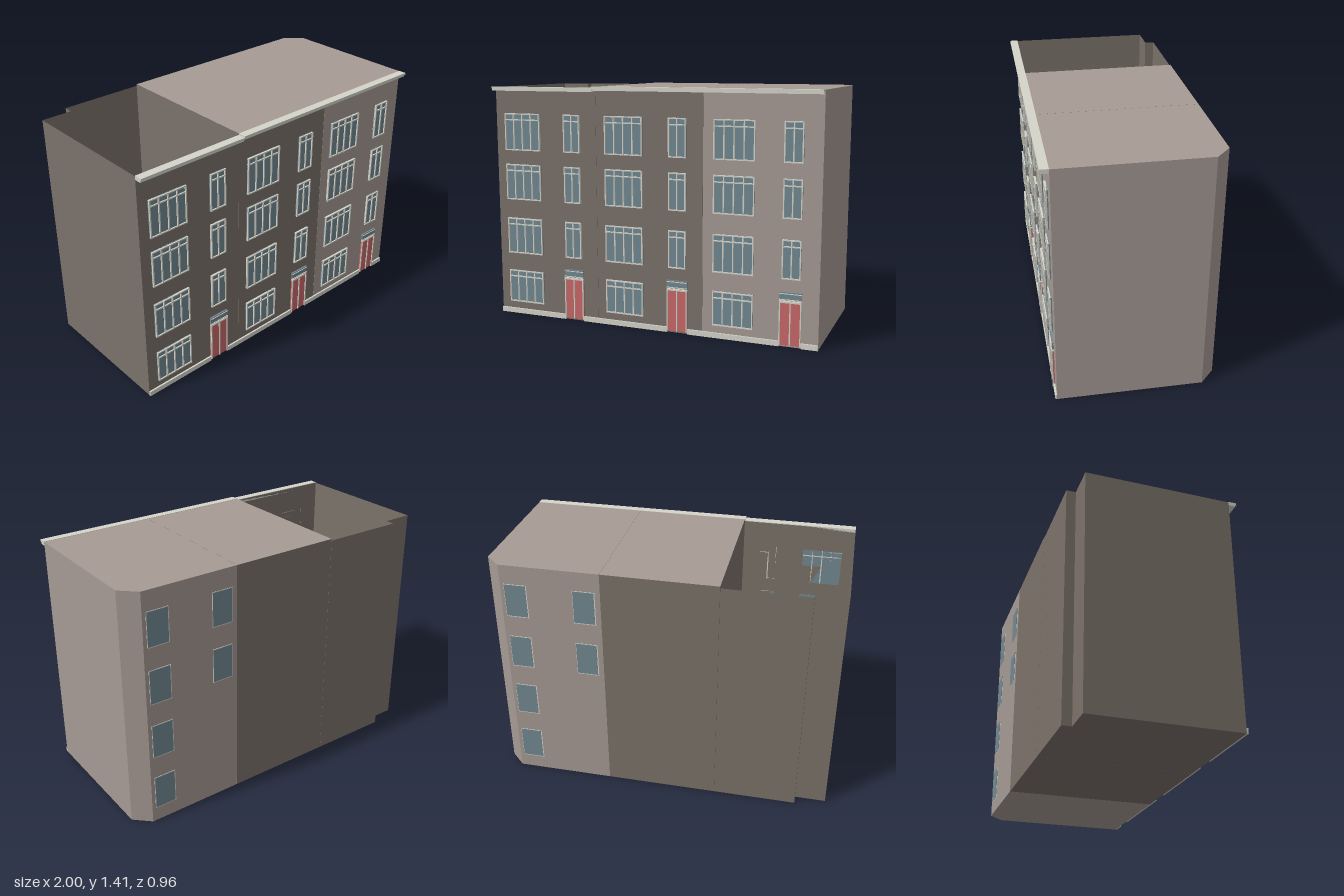
import * as THREE from 'three';

const mat = (name, color, side = THREE.FrontSide) => {
  const m = new THREE.MeshStandardMaterial({ color, side });
  m.name = name;
  return m;
};

export function createModel() {
  const darkWall = mat('dark wall', 0x7b726a, THREE.DoubleSide);
  const lightWall = mat('light wall', 0xa69a94, THREE.DoubleSide);
  const trim = mat('pale trim', 0xd4d4ca);
  const glass = mat('glass', 0x728891);
  const red = mat('red door', 0xc96868);

  const building = new THREE.Group();
  building.name = 'apartmentBlock';
  const FRONT = 0.43, BACK = -0.475, SECTION = 0.665;

  const add = (parent, name, geometry, material) => {
    const mesh = new THREE.Mesh(geometry, material);
    mesh.name = name;
    parent.add(mesh);
    return mesh;
  };

  // box given by its limits on each axis
  const box = (parent, name, material, x0, x1, y0, y1, z0, z1) => {
    const mesh = add(parent, name, new THREE.BoxGeometry(x1 - x0, y1 - y0, z1 - z0), material);
    mesh.position.set((x0 + x1) / 2, (y0 + y1) / 2, (z0 + z1) / 2);
    return mesh;
  };

  // level plate over a footprint of [x, z] points
  const plate = (parent, name, points, y, material) => {
    const shape = new THREE.Shape(points.map(([x, z]) => new THREE.Vector2(x, -z)));
    add(parent, name, new THREE.ShapeGeometry(shape).rotateX(-Math.PI / 2).translate(0, y, 0), material);
  };

  // upright walls round a footprint, counter-clockwise seen from above
  const walls = (parent, name, points, height, material) => {
    const pos = [];
    points.forEach(([x0, z0], i) => {
      const [x1, z1] = points[(i + 1) % points.length];
      pos.push(x0, 0, z0, x1, 0, z1, x1, height, z1, x0, 0, z0, x1, height, z1, x0, height, z0);
    });
    const g = new THREE.BufferGeometry();
    g.setAttribute('position', new THREE.Float32BufferAttribute(pos, 3));
    g.computeVertexNormals();
    add(parent, name, g, material);
  };

  // three house shells; the first has no roof
  const houses = [
    { name: 'openHouse', height: 1.4, wall: darkWall, roof: null,
      plan: [[-1, FRONT], [-0.331, FRONT], [-0.331, BACK], [-0.82, BACK], [-0.82, -0.42], [-1, -0.42]] },
    { name: 'middleHouse', height: 1.41, wall: darkWall, roof: lightWall,
      plan: [[-0.33, FRONT], [0.329, FRONT], [0.329, BACK], [-0.33, BACK]] },
    { name: 'cornerHouse', height: 1.41, wall: lightWall, roof: lightWall,
      plan: [[0.33, FRONT], [1, FRONT], [1, -0.39], [0.91, BACK], [0.33, BACK]] },
  ];
  for (const h of houses) {
    const group = new THREE.Group();
    group.name = h.name;
    building.add(group);
    walls(group, 'walls', h.plan, h.height, h.wall);
    plate(group, 'floor', h.plan, 0, h.wall);
    if (h.roof) plate(group, 'roof', h.plan, h.height, h.roof);
  }

  // framed front window with mullions and a high transom bar
  const frontWindow = (parent, x0, x1, y0, y1, panes) => {
    const g = new THREE.Group();
    g.name = 'frontWindow';
    parent.add(g);
    const t = 0.007, z = FRONT + 0.014;
    box(g, 'pane', glass, x0, x1, y0, y1, FRONT, FRONT + 0.006);
    for (let i = 0; i <= panes; i++) {
      const x = x0 + ((x1 - x0 - t) * i) / panes;
      box(g, 'mullion', trim, x, x + t, y0, y1, FRONT, z);
    }
    for (const y of [y0, y1 - 0.042, y1 - t])
      box(g, 'rail', trim, x0, x1, y, y + t, FRONT, z - 0.001);
  };

  // double door with a small light above
  const entrance = (parent, x0, x1) => {
    const g = new THREE.Group();
    g.name = 'entrance';
    parent.add(g);
    const t = 0.007, z = FRONT + 0.014, mid = (x0 + x1) / 2;
    box(g, 'doorLeaves', red, x0, x1, 0.01, 0.255, FRONT, FRONT + 0.008);
    for (const x of [x0, mid - t / 2, x1 - t])
      box(g, 'doorPost', trim, x, x + t, 0.01, 0.262, FRONT, z);
    box(g, 'doorHead', trim, x0, x1, 0.252, 0.262, FRONT, z);
    box(g, 'topLight', glass, x0, x1, 0.268, 0.312, FRONT, z - 0.004);
    box(g, 'topLightRail', trim, x0, x1, 0.268, 0.273, FRONT, z);
    box(g, 'topLightRail', trim, x0, x1, 0.302, 0.306, FRONT, z);
  };

  const rows = [[0.075, 0.276], [0.385, 0.605], [0.72, 0.937], [1.022, 1.245]];
  for (let s = 0; s < 3; s++) {
    const facade = new THREE.Group();
    facade.name = 'facade';
    building.add(facade);
    const dx = s * SECTION;
    rows.forEach(([y0, y1], floor) => {
      frontWindow(facade, dx - 0.937, dx - 0.7, y0, y1, 4);
      if (floor > 0) frontWindow(facade, dx - 0.54, dx - 0.434, y0, y1, 2);
    });
    entrance(facade, dx - 0.55, dx - 0.425);

    // plinth either side of the door
    const left = -1 + s * 0.6667, right = left + 0.6667;
    box(facade, 'plinth', trim, left, dx - 0.55, 0, 0.03, FRONT, FRONT + 0.01);
    box(facade, 'plinth', trim, dx - 0.425, right, 0, 0.03, FRONT, FRONT + 0.01);

    // stepped cornice
    const top = s === 0 ? 1.404 : 1.412;
    box(facade, 'corniceTop', trim, left, right, top - 0.013, top, FRONT, 0.478);
    box(facade, 'corniceBase', trim, left, right, top - 0.024, top - 0.013, FRONT, 0.47);
  }

  // rear windows: a full column by the cut corner, two more further in
  const rearRows = [[0.085, 0.29], [0.42, 0.625], [0.755, 0.96], [1.09, 1.295]];
  const rearWindow = (x0, x1, [y0, y1]) => {
    box(building, 'rearFrame', trim, x0, x1, y0, y1, BACK - 0.002, BACK);
    box(building, 'rearPane', glass, x0 + 0.006, x1 - 0.003, y0 + 0.006, y1 - 0.003, BACK - 0.004, BACK);
  };
  rearRows.forEach((row, i) => {
    rearWindow(0.755, 0.888, row);
    if (i > 1) rearWindow(0.36, 0.49, row);
  });

  return building;
}
